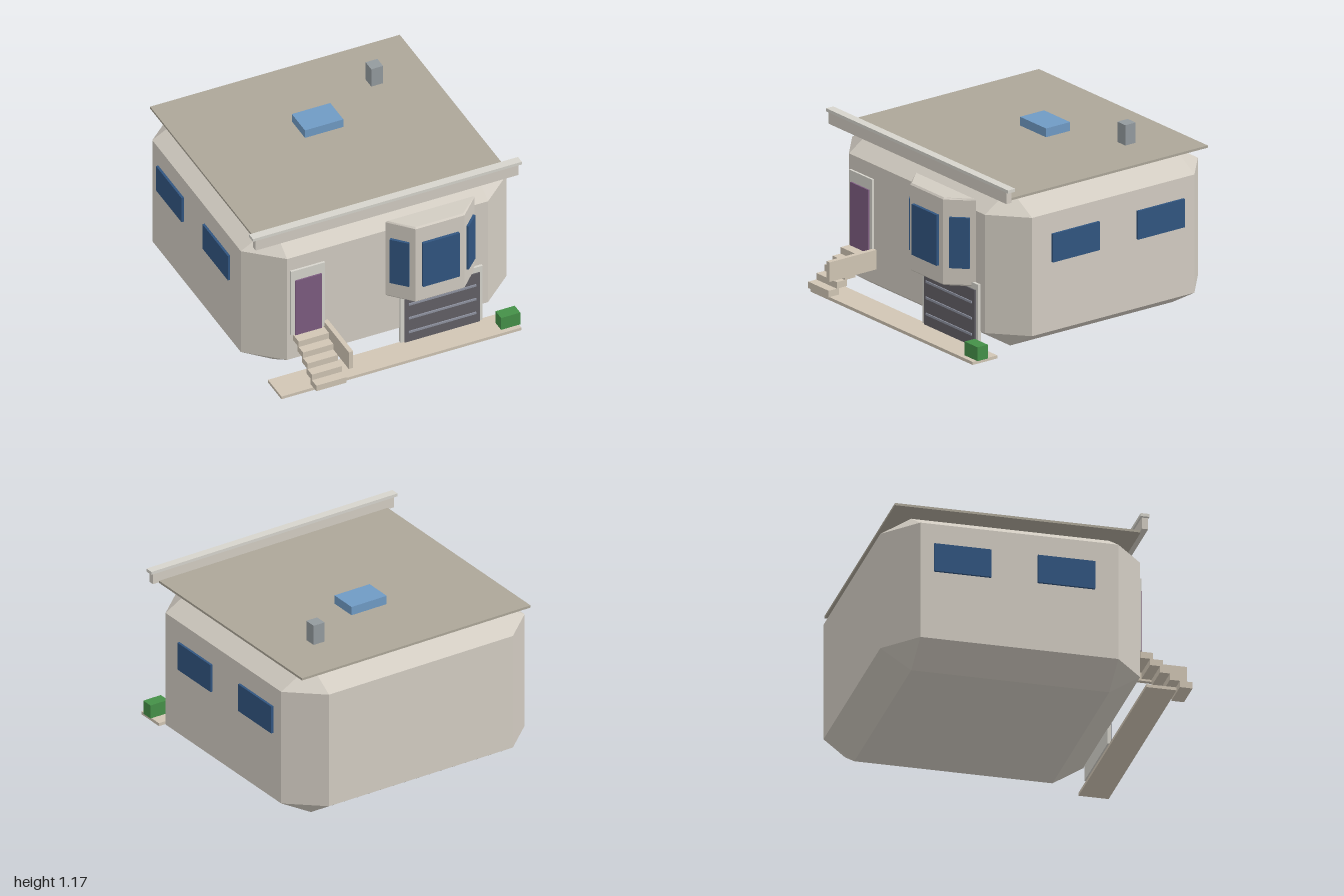
import * as THREE from 'three';
import { ConvexGeometry } from 'three/addons/geometries/ConvexGeometry.js';

const mat = (color) => new THREE.MeshStandardMaterial({ color, flatShading: true });
const wall = mat(0xd2ccc2), roofMat = mat(0xaca698), trim = mat(0xd6d4cc), tan = mat(0xd0c5b4);
const glass = mat(0x315580), skyGlass = mat(0x6f9ac4), purple = mat(0x7d5c80);
const steel = mat(0x626066), rib = mat(0x8e92a0), stone = mat(0x939a9e), green = mat(0x459048);

export function createModel() {
  const house = new THREE.Group();
  house.name = 'house';

  const add = (name, geometry, material) => {
    const mesh = new THREE.Mesh(geometry, material);
    mesh.name = name;
    house.add(mesh);
    return mesh;
  };
  // Box given by its limits on each axis
  const box = (name, material, [x0, x1], [y0, y1], [z0, z1]) => {
    const mesh = add(name, new THREE.BoxGeometry(x1 - x0, y1 - y0, z1 - z0), material);
    mesh.position.set((x0 + x1) / 2, (y0 + y1) / 2, (z0 + z1) / 2);
    return mesh;
  };

  // Main body: a box with every edge and corner cut off
  const half = [0.9, 0.51, 0.82], inner = [0.68, 0.385, 0.625];
  const points = [];
  for (const sx of [-1, 1]) for (const sy of [-1, 1]) for (const sz of [-1, 1]) {
    for (let axis = 0; axis < 3; axis++) {
      const p = inner.map((v, i) => (i === axis ? half[i] : v));
      points.push(new THREE.Vector3(sx * p[0], 0.51 + sy * p[1], -0.18 + sz * p[2]));
    }
  }
  add('body', new ConvexGeometry(points), wall);

  // Roof, front parapet, skylight and chimney
  box('roof', roofMat, [-0.845, 0.845], [1.02, 1.035], [-0.95, 0.6]);
  box('parapet', wall, [-0.89, 0.89], [1.025, 1.1], [0.595, 0.635]);
  box('parapetCap', trim, [-0.91, 0.91], [1.1, 1.12], [0.583, 0.638]);
  box('skylight', skyGlass, [-0.13, 0.13], [1.03, 1.092], [-0.44, -0.255]);
  box('chimney', stone, [0.46, 0.54], [1.03, 1.167], [-0.63, -0.55]);

  // Side windows, two on each side
  for (const s of [-1, 1]) for (const z of [0.115, -0.54]) {
    const win = box('sideWindow', glass, [-0.0125, 0.0125], [0.575, 0.76], [z - 0.18, z + 0.18]);
    win.position.x = s * 0.903;
  }

  // Bay: trapezoid plan with a fine bevel
  const plan = new THREE.Shape([
    [-0.002, 0.645], [0.585 - 0.008, 0.645], [0.447, 0.775], [0.125, 0.775],
  ].map(([x, z]) => new THREE.Vector2(x, z)));
  const bayGeometry = new THREE.ExtrudeGeometry(plan, {
    depth: 0.55, bevelEnabled: true, bevelSize: 0.01, bevelThickness: 0.01, bevelSegments: 1,
  });
  bayGeometry.rotateX(Math.PI / 2);
  bayGeometry.translate(0, 0.96, 0);
  add('bay', bayGeometry, wall);

  // Bay windows
  box('bayFrontWindow', glass, [0.162, 0.41], [0.52, 0.85], [0.775, 0.805]);
  for (const s of [-1, 1]) {
    const win = add('baySideWindow', new THREE.BoxGeometry(0.125, 0.33, 0.022), glass);
    win.position.set(0.286 + s * 0.239, 0.685, 0.715);
    win.rotation.y = s * 0.78;
  }

  // Entrance door
  box('doorFrame', trim, [-0.66, -0.43], [0.315, 0.8], [0.63, 0.655]);
  box('door', purple, [-0.635, -0.455], [0.315, 0.727], [0.64, 0.665]);

  // Steps climbing to the door, with one side wall
  for (let i = 0; i < 5; i++) {
    const y = 0.105 + i * 0.042, z = 0.98 - i * 0.0625;
    box('step', tan, [-0.645, -0.44], [y, y + 0.042], [z - 0.08, z]);
  }
  box('stepRail', tan, [-0.435, -0.405], [0.22, 0.347], [0.64, 1]);

  // Garage door with ribs
  box('garageFrame', trim, [0.08, 0.635], [0.02, 0.43], [0.635, 0.658]);
  box('garageDoor', steel, [0.105, 0.613], [0.02, 0.39], [0.645, 0.667]);
  for (const y of [0.095, 0.2, 0.305]) {
    box('garageRib', rib, [0.13, 0.585], [y - 0.007, y + 0.007], [0.66, 0.674]);
  }

  // Pavement and planter
  box('pavement', tan, [-0.812, 0.812], [0, 0.02], [0.645, 0.835]);
  box('planter', green, [0.69, 0.82], [0.02, 0.11], [0.725, 0.803]);

  return house;
}
